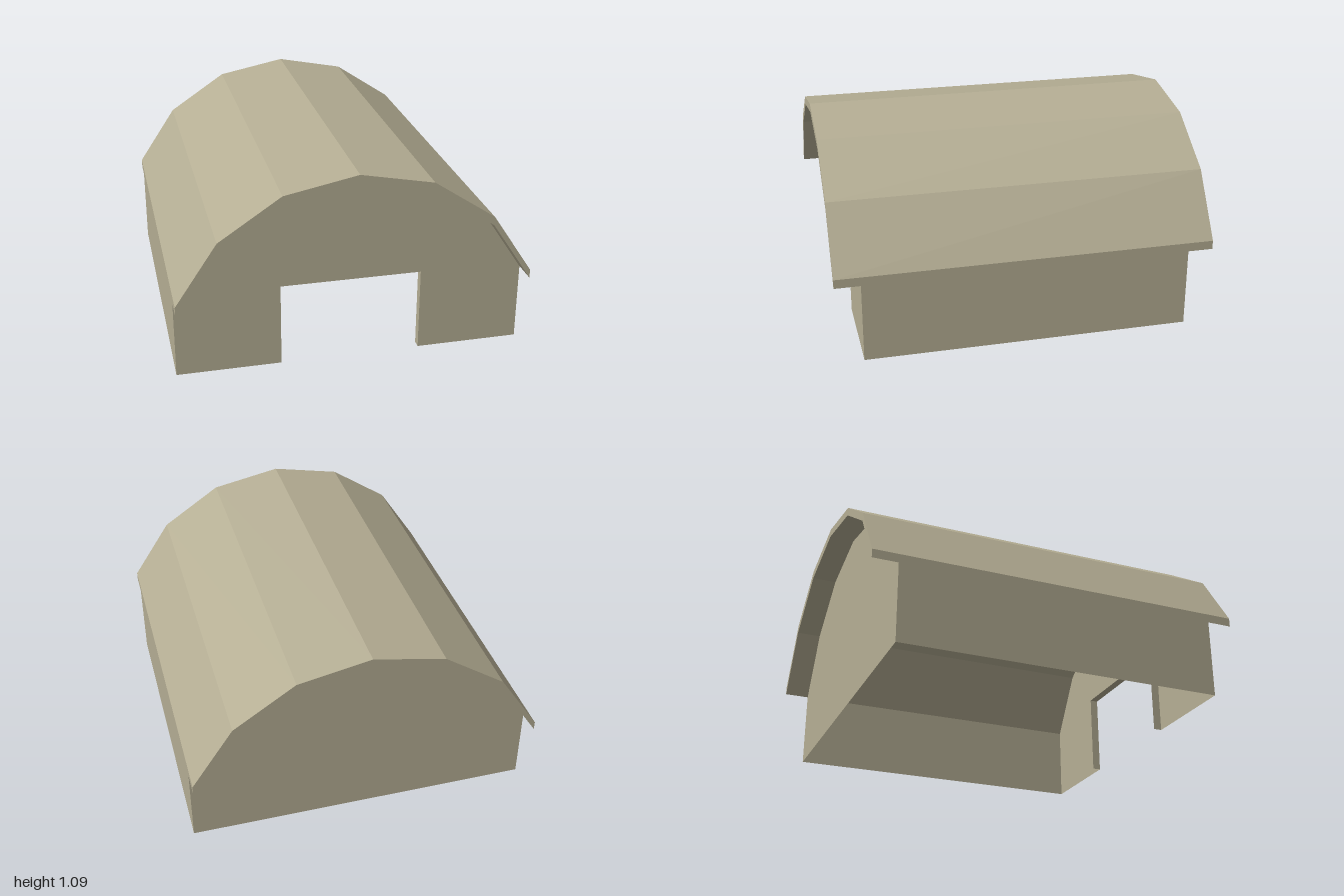
import * as THREE from 'three';

export function createModel() {
  const group = new THREE.Group();
  const material = new THREE.MeshStandardMaterial({
    color: 0xb5ae94, flatShading: true, side: THREE.DoubleSide,
  });
  const add = (name, geometry, x = 0, y = 0, z = 0) => {
    const mesh = new THREE.Mesh(geometry, material);
    mesh.name = name;
    mesh.position.set(x, y, z);
    group.add(mesh);
    return mesh;
  };

  const thickness = 0.047, wallZ = 0.865;
  const doorX = 0.373, doorH = 0.45, returnDepth = 0.045;

  // Arch on a unit circle in 22.5 degree steps, from the left eave to the right
  const arch = (drop) => Array.from({ length: 7 }, (_, i) => {
    const a = (i + 1) * Math.PI / 8;
    return new THREE.Vector2(Math.cos(a), Math.sin(a) + 0.085 - drop);
  });
  const outer = arch(0), inner = arch(thickness);
  const halfWidth = outer[0].x, eaveY = inner[0].y;

  // Roof shell overhanging both gables
  const roof = new THREE.Shape([...outer, ...inner.slice().reverse()]);
  add('roof', new THREE.ExtrudeGeometry(roof, { depth: 2, bevelEnabled: false }), 0, 0, -1);

  // Thin gable walls, the front one notched for the doorway
  const corner = (x, y) => new THREE.Vector2(x, y);
  const base = [corner(-halfWidth, 0), corner(halfWidth, 0)];
  const doorway = [
    corner(-doorX, 0), corner(-doorX, doorH), corner(doorX, doorH), corner(doorX, 0),
  ];
  const front = new THREE.Shape([base[0], ...doorway, base[1], ...inner]);
  const back = new THREE.Shape([...base, ...inner]);
  add('frontWall', new THREE.ShapeGeometry(front), 0, 0, wallZ);
  add('backWall', new THREE.ShapeGeometry(back), 0, 0, -wallZ).rotation.y = Math.PI;

  // Side walls and door jambs, mirrored
  for (const [side, s] of [['left', 1], ['right', -1]]) {
    add(side + 'Wall', new THREE.PlaneGeometry(2 * wallZ, eaveY),
      s * halfWidth, eaveY / 2, 0).rotation.y = s * Math.PI / 2;
    add(side + 'DoorJamb', new THREE.PlaneGeometry(returnDepth, doorH),
      s * doorX, doorH / 2, wallZ - returnDepth / 2).rotation.y = -s * Math.PI / 2;
  }

  // Underside of the door lintel
  add('doorLintel', new THREE.PlaneGeometry(2 * doorX, returnDepth),
    0, doorH, wallZ - returnDepth / 2).rotation.x = Math.PI / 2;

  return group;
}
